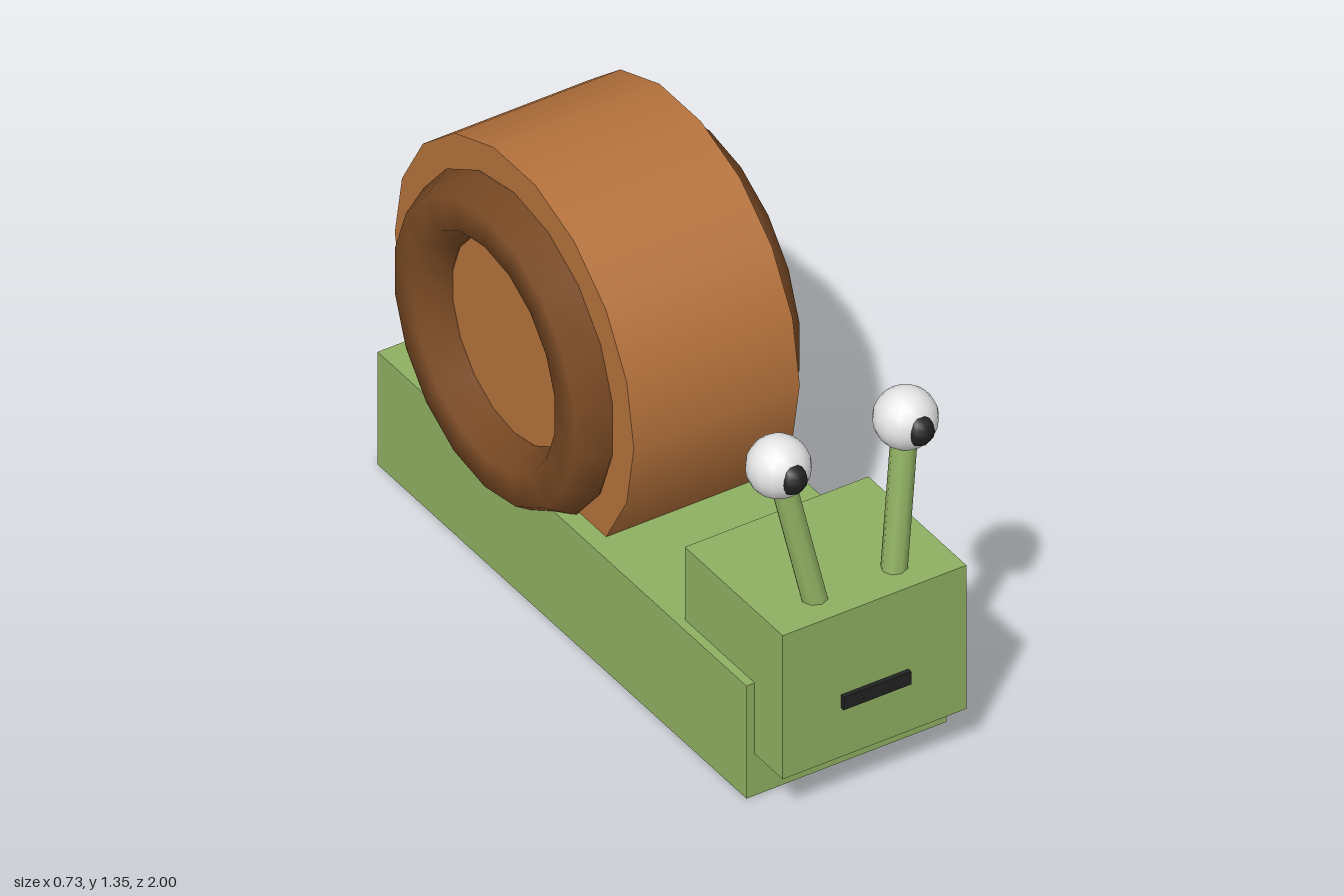
import * as THREE from 'three';

export function createModel() {
  const model = new THREE.Group();
  model.name = 'snail';

  const mat = (name, color) => {
    const m = new THREE.MeshStandardMaterial({ color });
    m.name = name;
    return m;
  };
  const skin = mat('skinGreen', 0x8fb062);
  const shellBrown = mat('shellBrown', 0xb5723c);
  const coilBrown = mat('coilBrown', 0x7a4a24);
  const eyeWhite = mat('eyeWhite', 0xe6e6e6);
  const black = mat('black', 0x222222);

  const add = (name, geometry, material, x = 0, y = 0, z = 0) => {
    const mesh = new THREE.Mesh(geometry, material);
    mesh.name = name;
    mesh.position.set(x, y, z);
    model.add(mesh);
    return mesh;
  };

  // Box given by its lower and upper limits in y and z
  const block = (name, width, y0, y1, z0, z1, material) =>
    add(name, new THREE.BoxGeometry(width, y1 - y0, z1 - z0), material, 0, (y0 + y1) / 2, (z0 + z1) / 2);

  // Body, head and mouth
  block('body', 0.652, 0, 0.38, -1, 0.845, skin);
  block('head', 0.598, 0.14, 0.625, 0.495, 0.985, skin);
  block('mouth', 0.22, 0.307, 0.35, 0.97, 1, black);

  // Shell drum, with corners at its front and back
  const shellY = 0.762, shellZ = -0.402;
  const drum = new THREE.CylinderGeometry(0.598, 0.598, 0.54, 18);
  drum.rotateZ(Math.PI / 2);
  add('shell', drum, shellBrown, 0, shellY, shellZ);

  // Raised coils: a large ring on each side, a small one on the left only
  const coil = (name, x, radius, tube, sides) => {
    const ring = new THREE.TorusGeometry(radius, tube, 6, sides);
    ring.rotateZ(Math.PI / 2);
    ring.rotateY(Math.PI / 2);
    add(name, ring, coilBrown, x, shellY, shellZ);
  };
  coil('outerCoilLeft', 0.28, 0.405, 0.1, 18);
  coil('outerCoilRight', -0.28, 0.405, 0.1, 18);
  coil('innerCoilLeft', 0.28, 0.189, 0.078, 14);

  // Leaning eye stalks, eyeballs and pupils
  for (const [side, s] of [['Left', 1], ['Right', -1]]) {
    const base = new THREE.Vector3(s * 0.124, 0.59, 0.888);
    const eye = new THREE.Vector3(s * 0.207, 1.062, 0.822);
    const dir = eye.clone().sub(base);
    const stalk = add('eyeStalk' + side, new THREE.CylinderGeometry(0.038, 0.038, dir.length(), 8), skin);
    stalk.position.copy(base).lerp(eye, 0.5);
    stalk.quaternion.setFromUnitVectors(new THREE.Vector3(0, 1, 0), dir.normalize());
    add('eye' + side, new THREE.SphereGeometry(0.092, 16, 12), eyeWhite, eye.x, eye.y, eye.z);
    const pupil = add('pupil' + side, new THREE.SphereGeometry(0.05, 8, 8), black, eye.x, eye.y, 0.885);
    pupil.scale.x = 0.9;
  }

  return model;
}
